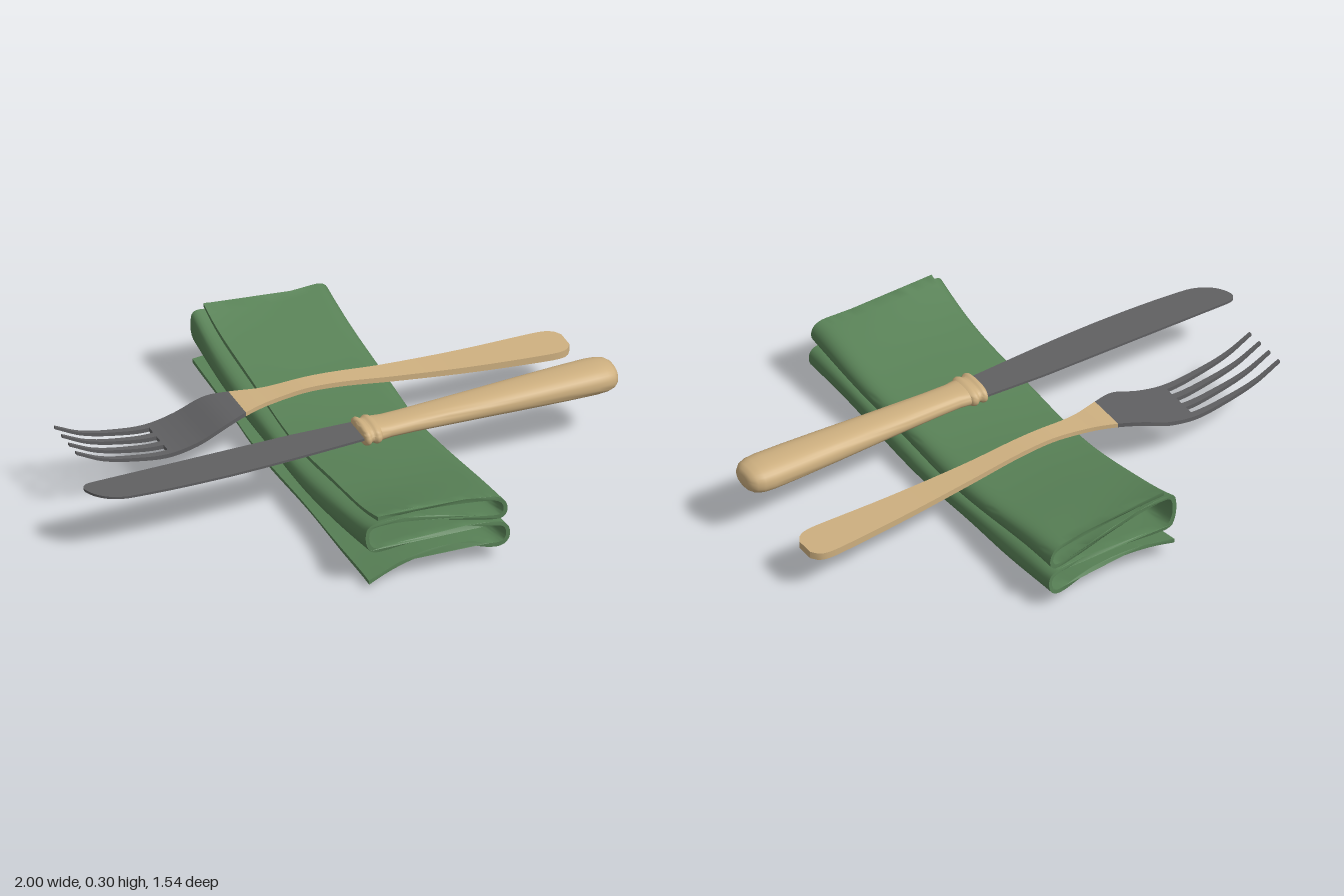
import * as THREE from 'three';
import { toCreasedNormals } from 'three/addons/utils/BufferGeometryUtils.js';

const green = new THREE.MeshStandardMaterial({ color: 0x598257 });
green.name = 'clothGreen';
const wood = new THREE.MeshStandardMaterial({ color: 0xceb080 });
wood.name = 'paleWood';
const steel = new THREE.MeshStandardMaterial({ color: 0x606062 });
steel.name = 'darkSteel';

const clamp = THREE.MathUtils.clamp;

function part(name, geometry, material) {
  const mesh = new THREE.Mesh(geometry, material);
  mesh.name = name;
  return mesh;
}

// Smooth interpolation through [x, value] pairs
function smooth(table, x) {
  let i = 0;
  while (i < table.length - 2 && x > table[i + 1][0]) i++;
  const at = (k) => table[clamp(k, 0, table.length - 1)];
  const slope = (k) => (at(k + 1)[1] - at(k - 1)[1]) / (at(k + 1)[0] - at(k - 1)[0]);
  const [x0, v0] = at(i), [x1, v1] = at(i + 1);
  const d = x1 - x0, t = clamp((x - x0) / d, 0, 1);
  return v0 * (1 + 2 * t) * (1 - t) ** 2 + slope(i) * d * t * (1 - t) ** 2
    + v1 * t * t * (3 - 2 * t) + slope(i + 1) * d * t * t * (t - 1);
}

// Closed solid through rings of [x, y, z] points that follow each other along +x
function loft(rings, crease) {
  const n = rings[0].length, last = rings.length - 1;
  const pos = rings.flat(2), index = [];
  for (let i = 0; i < last; i++) {
    for (let j = 0; j < n; j++) {
      const k = (j + 1) % n;
      const a = i * n + j, b = i * n + k, c = b + n, d = a + n;
      index.push(a, b, c, a, c, d);
    }
  }
  for (const r of [0, last]) {
    const centre = pos.length / 3;
    for (let c = 0; c < 3; c++) pos.push(rings[r].reduce((s, p) => s + p[c], 0) / n);
    for (let j = 0; j < n; j++) {
      const a = r * n + j, b = r * n + (j + 1) % n;
      if (r === 0) index.push(centre, b, a);
      else index.push(centre, a, b);
    }
  }
  const g = new THREE.BufferGeometry();
  g.setAttribute('position', new THREE.Float32BufferAttribute(pos, 3));
  g.setIndex(index);
  return toCreasedNormals(g, crease);
}

// Napkin: a ribbon folded in four sheets, swept along z and sagging in the middle
function makeNapkin() {
  const fold = [
    [-0.195, 0.016], [-0.1, 0.03], [0.02, 0.036], [0.15, 0.028], [0.25, 0.008],
    [0.296, 0.014], [0.311, 0.044], [0.292, 0.077], [0.2, 0.083], [0, 0.078], [-0.13, 0.074],
    [-0.18, 0.081], [-0.198, 0.112], [-0.18, 0.146], [-0.1, 0.151], [0.05, 0.138], [0.2, 0.112],
    [0.285, 0.106], [0.308, 0.136], [0.285, 0.167], [0.2, 0.175], [0, 0.178], [-0.153, 0.172],
  ];
  const curve = new THREE.SplineCurve(fold.map(([x, y]) => new THREE.Vector2(x, y)));
  const outer = [], inner = [], half = 0.007, count = 110;
  for (let i = 0; i <= count; i++) {
    const p = curve.getPoint(i / count), t = curve.getTangent(i / count);
    outer.push(new THREE.Vector2(p.x + t.y * half, p.y - t.x * half));
    inner.unshift(new THREE.Vector2(p.x - t.y * half, p.y + t.x * half));
  }
  const shape = new THREE.Shape([...outer, ...inner]);
  const g = new THREE.ExtrudeGeometry(shape, { depth: 1.48, steps: 36, bevelEnabled: false });
  g.translate(0, 0, -0.74);
  const pos = g.attributes.position;
  for (let i = 0; i < pos.count; i++) {
    const x = pos.getX(i), y = pos.getY(i), z = pos.getZ(i);
    const e = z / 0.74, bend = Math.abs(e) ** 1.7;
    const left = clamp((0.2 - x) / 0.4, 0, 1) ** 1.5;
    const bottomSheet = clamp((0.062 - y) / 0.02, 0, 1);
    const upper = clamp((y - 0.08) / 0.06, 0, 1);
    const front = Math.max(e, 0) ** 4, back = Math.max(-e, 0) ** 3;
    // Sag, then a drooping lower corner in front and a raised upper corner behind
    let ny = 0.004 + 0.056 * bend + y * (1 + 0.16 * bend);
    ny -= 0.055 * front * left * bottomSheet;
    ny += (0.05 * back + 0.018 * front) * left * upper;
    ny += 0.005 * Math.sin(e * 8 + x * 5) * bend;
    const flare = x > 0 ? 0.012 : 0.003;
    const nx = x + flare * bend * Math.sign(x) * Math.min(1, Math.abs(x) * 5)
      + 0.004 * Math.sin(z * 9 + y * 25);
    const nz = z * (1 + 0.035 * (x / 0.3) ** 2 * Math.abs(e));
    pos.setXYZ(i, nx, ny, nz);
  }
  return part('napkin', toCreasedNormals(g, 0.9), green);
}

// Knife: flat blade, ringed collar and rounded handle
function makeKnife() {
  const knife = new THREE.Group();
  knife.name = 'knife';

  const s = new THREE.Shape();
  s.moveTo(0.04, 0.1);
  s.lineTo(-0.2, 0.09);
  s.lineTo(-0.96, 0.09);
  s.bezierCurveTo(-0.99, 0.09, -1.0, 0.105, -0.998, 0.125);
  s.bezierCurveTo(-0.985, 0.17, -0.95, 0.21, -0.88, 0.225);
  s.bezierCurveTo(-0.75, 0.24, -0.6, 0.242, -0.5, 0.242);
  s.bezierCurveTo(-0.3, 0.24, -0.1, 0.225, 0.04, 0.217);
  const blade = new THREE.ExtrudeGeometry(s, { depth: 0.009, bevelEnabled: false, curveSegments: 14 });
  blade.rotateX(Math.PI / 2).translate(0, 0.257, 0);
  knife.add(part('knifeBlade', blade, steel));

  // [x, half width, half height]
  const body = [
    [0.09, 0.064, 0.031], [0.13, 0.058, 0.03], [0.22, 0.058, 0.032], [0.35, 0.062, 0.036],
    [0.5, 0.067, 0.041], [0.65, 0.073, 0.046], [0.8, 0.078, 0.05], [0.91, 0.08, 0.052],
    [0.95, 0.077, 0.05], [0.977, 0.068, 0.044], [0.993, 0.052, 0.034], [1, 0.03, 0.02],
  ];
  const collar = [
    [0.025, 0.062, 0.028], [0.03, 0.072, 0.034], [0.038, 0.075, 0.036], [0.046, 0.072, 0.034],
    [0.052, 0.065, 0.03], [0.06, 0.065, 0.03], [0.066, 0.072, 0.034], [0.074, 0.075, 0.036],
    [0.084, 0.072, 0.034], [0.092, 0.063, 0.03],
  ];
  const round = (v) => Math.sign(v) * Math.abs(v) ** 0.82;
  const rings = (stations) => stations.map(([x, w, h]) =>
    Array.from({ length: 32 }, (_, j) => {
      const a = (j / 32) * Math.PI * 2;
      return [x, 0.253 + h * round(Math.cos(a)), 0.163 + w * round(Math.sin(a))];
    }));
  knife.add(part('knifeHandle', loft(rings(body), 0.9), wood));
  knife.add(part('knifeCollar', loft(rings(collar), 0.9), wood));
  return knife;
}

// Fork: one bent bar whose width, height and thickness follow tables along x
function makeFork() {
  const fork = new THREE.Group();
  fork.name = 'fork';
  const height = [
    [-0.93, 0.257], [-0.83, 0.208], [-0.7, 0.177], [-0.58, 0.164], [-0.47, 0.183],
    [-0.36, 0.225], [-0.275, 0.238], [-0.15, 0.243], [-0.02, 0.25], [0.1, 0.243],
    [0.3, 0.218], [0.6, 0.19], [0.975, 0.169],
  ];
  const width = [
    [-0.575, 0.105], [-0.42, 0.105], [-0.35, 0.098], [-0.275, 0.075], [-0.18, 0.048],
    [-0.08, 0.037], [0.05, 0.036], [0.25, 0.041], [0.6, 0.06], [0.85, 0.074],
    [0.92, 0.074], [0.955, 0.062], [0.975, 0.035],
  ];
  const thickness = [[-0.93, 0.005], [-0.575, 0.008], [-0.275, 0.008], [0, 0.009], [0.4, 0.011], [0.975, 0.014]];
  const bar = (from, to, steps, centre, half) => {
    const rings = [];
    for (let i = 0; i <= steps; i++) {
      const x = from + (to - from) * (i / steps);
      const y = smooth(height, x), t = smooth(thickness, x), z = centre(x), w = half(x);
      rings.push([[x, y + t, z - w], [x, y + t, z + w], [x, y - t, z + w], [x, y - t, z - w]]);
    }
    return loft(rings, 0.6);
  };
  const middle = () => -0.197, halfWidth = (x) => smooth(width, x);
  fork.add(part('forkHead', bar(-0.575, -0.275, 20, middle, halfWidth), steel));
  fork.add(part('forkHandle', bar(-0.275, 0.975, 80, middle, halfWidth), wood));
  for (let i = 0; i < 4; i++) {
    const z = -0.197 + (i - 1.5) * 0.061;
    const tine = bar(-0.93, -0.575, 18, () => z, (x) => 0.0135 + 0.021 * (x + 0.575));
    fork.add(part('forkTine', tine, steel));
  }
  return fork;
}

export function createModel() {
  const model = new THREE.Group();
  model.name = 'placeSetting';
  model.add(makeNapkin(), makeKnife(), makeFork());
  return model;
}
